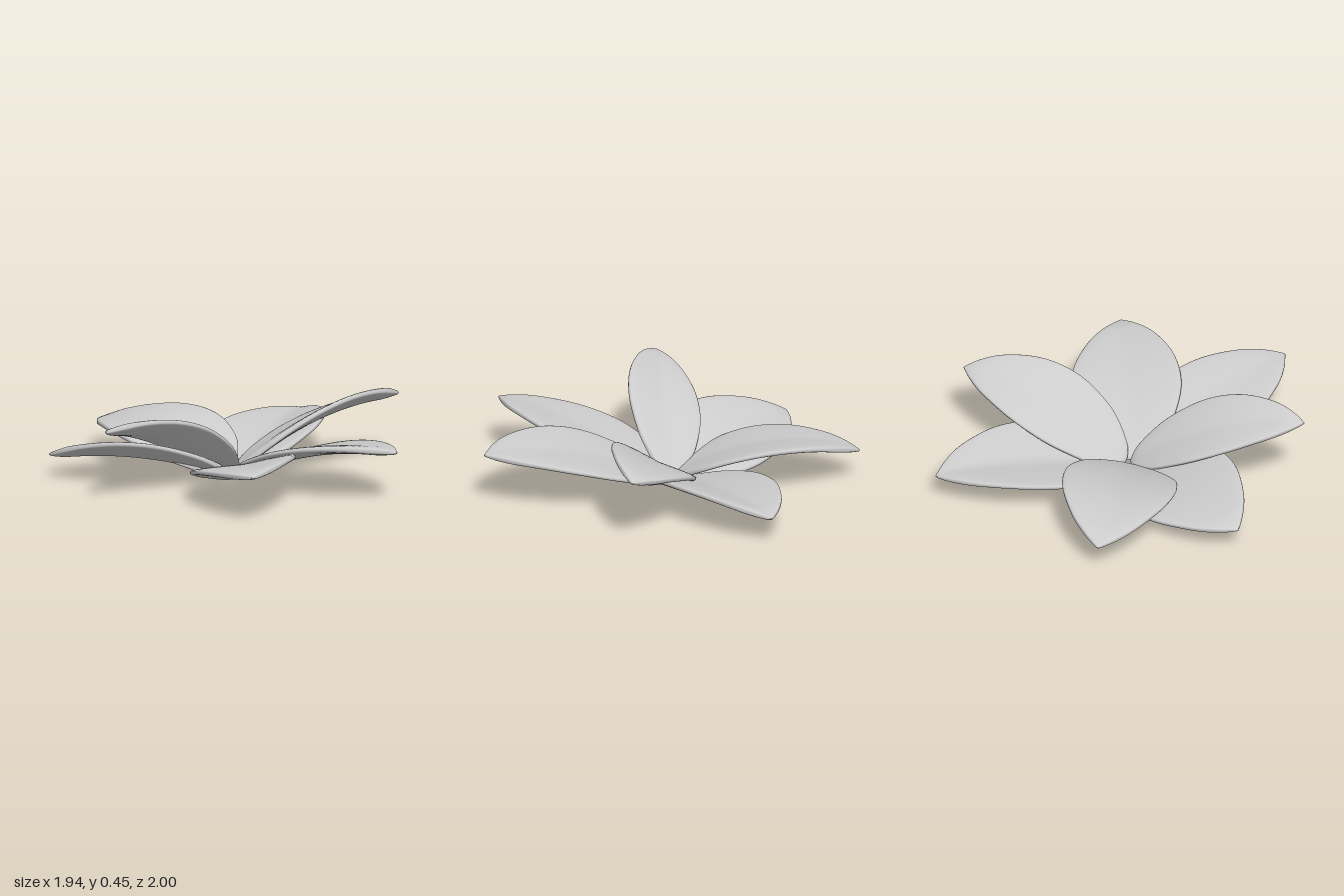
import * as THREE from 'three';

const material = new THREE.MeshStandardMaterial({ color: 0xcccccc, side: THREE.DoubleSide });

// Half-width of a petal (0..1) against the distance from its base (0..1)
const outline = new THREE.SplineCurve([
  [0, 0], [0.025, 0.3], [0.1, 0.6], [0.2, 0.83], [0.39, 1], [0.6, 0.92], [0.8, 0.62], [0.92, 0.31], [1, 0],
].map(([s, w]) => new THREE.Vector2(s, w)));

// base and tip: points; half: half-width; bow: arch along the length;
// roll: sideways tilt; fold: slope of the V across the midrib
function petalGeometry({ base, tip, half, bow, roll, fold }) {
  const rings = 56, sides = 48, thick = 0.024;
  const from = new THREE.Vector3(...base), to = new THREE.Vector3(...tip);
  const axis = to.clone().sub(from).setY(0).normalize();
  const side = new THREE.Vector3(0, 1, 0).cross(axis);
  const positions = [], index = [];
  for (let i = 0; i <= rings; i++) {
    const p = outline.getPoint(i / rings);
    const s = THREE.MathUtils.clamp(p.x, 0, 1), w = Math.max(p.y, 0);
    const centre = from.clone().lerp(to, s);
    centre.y += bow * 4 * s * (1 - s);
    const t = thick * Math.min(1, Math.sqrt(w * 2.5));
    for (let j = 0; j < sides; j++) {
      // Flat cross-section with rounded rims, creased along the middle
      const a = (j / sides) * Math.PI * 2, sin = Math.sin(a);
      const v = Math.cos(a) * w * half;
      const lift = fold * (Math.sqrt(v * v + 0.0004) - 0.02);
      const y = lift + t * Math.sign(sin) * Math.sqrt(Math.abs(sin));
      const across = v * Math.cos(roll) - y * Math.sin(roll);
      const up = v * Math.sin(roll) + y * Math.cos(roll);
      positions.push(centre.x + side.x * across, centre.y + up, centre.z + side.z * across);
      if (i < rings) {
        const k = (j + 1) % sides, r = i * sides, n = r + sides;
        index.push(r + j, r + k, n + j, r + k, n + k, n + j);
      }
    }
  }
  const g = new THREE.BufferGeometry();
  g.setAttribute('position', new THREE.Float32BufferAttribute(positions, 3));
  g.setIndex(index);
  g.computeVertexNormals();
  return g;
}

const petals = {
  backPetal: { base: [-0.06, 0.03, 0.0], tip: [-0.17, 0.15, -1.0], half: 0.305, bow: 0.105, roll: -0.1, fold: 0.08 },
  backLeftPetal: { base: [0.03, 0.025, 0.0], tip: [0.885, 0.14, -0.58], half: 0.295, bow: 0.04, roll: -0.1, fold: 0.22 },
  backRightPetal: { base: [-0.05, 0.03, 0.0], tip: [-0.825, 0.13, -0.57], half: 0.3, bow: 0.055, roll: 0.3, fold: 0.1 },
  rightPetal: { base: [-0.02, 0.05, 0.03], tip: [-0.97, 0.41, 0.14], half: 0.206, bow: 0.08, roll: 0.38, fold: 0.14 },
  leftPetal: { base: [0.0, 0.05, 0.025], tip: [0.97, 0.36, 0.17], half: 0.233, bow: 0.085, roll: -0.38, fold: 0.1 },
  frontRightPetal: { base: [-0.05, 0.025, 0.08], tip: [-0.59, 0.265, 0.97], half: 0.285, bow: 0.05, roll: 0.14, fold: 0.08 },
  frontLeftPetal: { base: [-0.01, 0.035, 0.06], tip: [0.35, 0.275, 1.0], half: 0.3, bow: 0.065, roll: -0.12, fold: 0.08 },
};

export function createModel() {
  const flower = new THREE.Group();
  flower.name = 'flower';
  for (const [name, spec] of Object.entries(petals)) {
    const petal = new THREE.Mesh(petalGeometry(spec), material);
    petal.name = name;
    flower.add(petal);
  }
  // Rest the lowest petal on the ground
  flower.position.y = -new THREE.Box3().setFromObject(flower, true).min.y;
  return flower;
}
